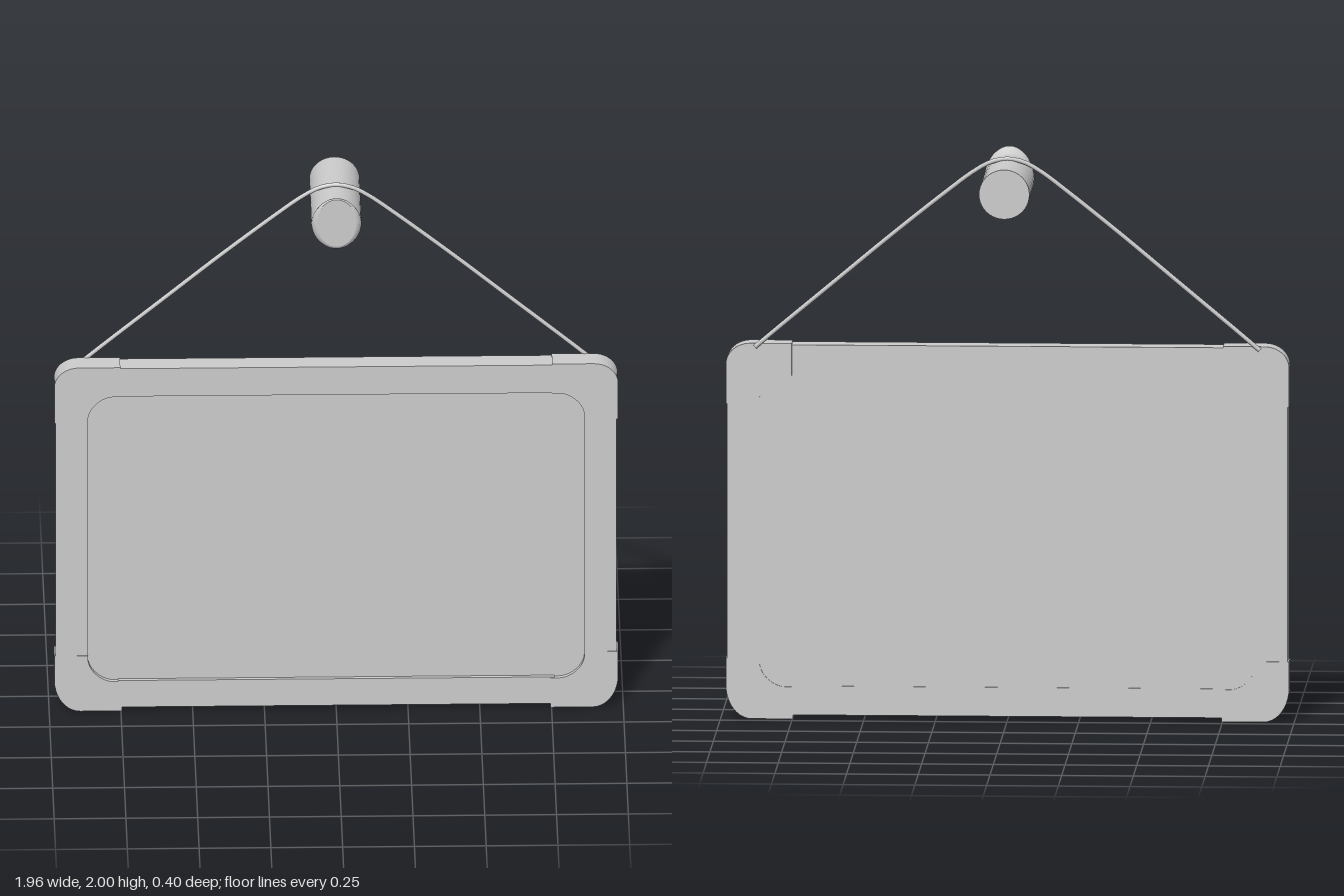
import * as THREE from 'three';

const mat = new THREE.MeshStandardMaterial({ color: 0xcccccc });

function add(group, name, geometry) {
  const mesh = new THREE.Mesh(geometry, mat);
  mesh.name = name;
  group.add(mesh);
  return mesh;
}

// Extrude a flat shape between two depths
function slab(shape, z0, z1) {
  return new THREE.ExtrudeGeometry(shape, { depth: z1 - z0, bevelEnabled: false, curveSegments: 10 }).translate(0, 0, z0);
}

function box(x0, x1, y0, y1, z0, z1) {
  return new THREE.BoxGeometry(x1 - x0, y1 - y0, z1 - z0)
    .translate((x0 + x1) / 2, (y0 + y1) / 2, (z0 + z1) / 2);
}

// L-shaped corner with rounded outer and inner corners
// s: side sign, edge: outer y, v: direction inwards, rx/ry: outer radii
function cornerShape(s, edge, v, rx, ry, seamX) {
  const X = 0.982, IX = 0.865, D = 0.113, R = 0.09, L = 0.213;
  const shape = new THREE.Shape();
  const y = (d) => edge + v * d;
  shape.moveTo(s * seamX, y(0));
  shape.lineTo(s * (X - rx), y(0));
  shape.bezierCurveTo(s * (X - rx * 0.45), y(0), s * X, y(ry * 0.45), s * X, y(ry));
  shape.lineTo(s * X, y(L));
  shape.lineTo(s * IX, y(L));
  shape.lineTo(s * IX, y(D + R));
  shape.bezierCurveTo(s * IX, y(D + R * 0.45), s * (IX - R * 0.55), y(D), s * (IX - R), y(D));
  shape.lineTo(s * seamX, y(D));
  shape.closePath();
  return shape;
}

// Peg body swept through ellipses: [z, half width, bottom y, top y]
function pegGeometry(rings, n = 40) {
  const pos = [], idx = [];
  rings.forEach(([z, w, y0, y1]) => {
    for (let i = 0; i <= n; i++) {
      const a = (i / n) * Math.PI * 2;
      pos.push(w * Math.cos(a), (y0 + y1) / 2 + ((y1 - y0) / 2) * Math.sin(a), z);
    }
  });
  for (let r = 0; r < rings.length - 1; r++) {
    for (let i = 0; i < n; i++) {
      const a = r * (n + 1) + i, d = a + n + 1;
      idx.push(a, a + 1, d + 1, a, d + 1, d);
    }
  }
  const g = new THREE.BufferGeometry();
  g.setAttribute('position', new THREE.Float32BufferAttribute(pos, 3));
  g.setIndex(idx);
  g.computeVertexNormals();
  return g;
}

function pegCap([z, w, y0, y1], back) {
  const g = new THREE.CircleGeometry(1, 40);
  if (back) g.rotateY(Math.PI);
  return g.scale(w, (y1 - y0) / 2, 1).translate(0, (y0 + y1) / 2, z);
}

export function createModel() {
  const model = new THREE.Group();
  model.name = 'hangingBoard';

  // Recessed board panel
  add(model, 'panel', box(-0.88, 0.88, 0.1, 1.23, 0.044, 0.108));

  // Frame rails, slightly slimmer than the corners
  const z0 = 0.042, z1 = 0.123;
  add(model, 'topRail', box(-0.76, 0.76, 1.21, 1.317, z0, z1));
  add(model, 'bottomRail', box(-0.76, 0.76, 0.014, 0.116, z0, z1));
  for (const s of [-1, 1]) {
    const x = [s * 0.865, s * 0.977].sort((a, b) => a - b);
    add(model, s > 0 ? 'leftRail' : 'rightRail', box(x[0], x[1], 0.2, 1.12, z0, z1));
  }

  // Four corner pieces
  for (const s of [-1, 1]) {
    const side = s > 0 ? 'Left' : 'Right';
    add(model, 'top' + side + 'Corner', slab(cornerShape(s, 1.322, -1, 0.085, 0.075, 0.752), 0.04, 0.125));
    add(model, 'bottom' + side + 'Corner', slab(cornerShape(s, 0, 1, 0.09, 0.12, 0.747), 0.04, 0.125));
  }

  // Wall peg with upturned, rounded front lip
  const rings = [
    [-0.2, 0.088, 1.8, 1.974],
    [0.15, 0.088, 1.8, 1.974],
    [0.165, 0.088, 1.8, 1.979],
    [0.18, 0.086, 1.801, 1.99],
    [0.19, 0.082, 1.804, 1.998],
    [0.197, 0.076, 1.809, 2.0],
    [0.2, 0.069, 1.816, 1.997],
  ];
  const peg = new THREE.Group();
  peg.name = 'peg';
  model.add(peg);
  add(peg, 'pegBody', pegGeometry(rings));
  add(peg, 'pegFrontFace', pegCap(rings[rings.length - 1], false));
  add(peg, 'pegBackFace', pegCap(rings[0], true));

  // Cord draped over the peg
  const half = [[0.88, 1.31], [0.8, 1.378], [0.6, 1.545], [0.4, 1.712], [0.2, 1.872], [0.12, 1.932], [0.06, 1.966]];
  const points = [
    ...half.map(([x, y]) => [-x, y]),
    [0, 1.978],
    ...half.slice().reverse(),
  ].map(([x, y]) => new THREE.Vector3(x, y, 0.036));
  add(model, 'cord', new THREE.TubeGeometry(new THREE.CatmullRomCurve3(points), 96, 0.008, 8));

  return model;
}
